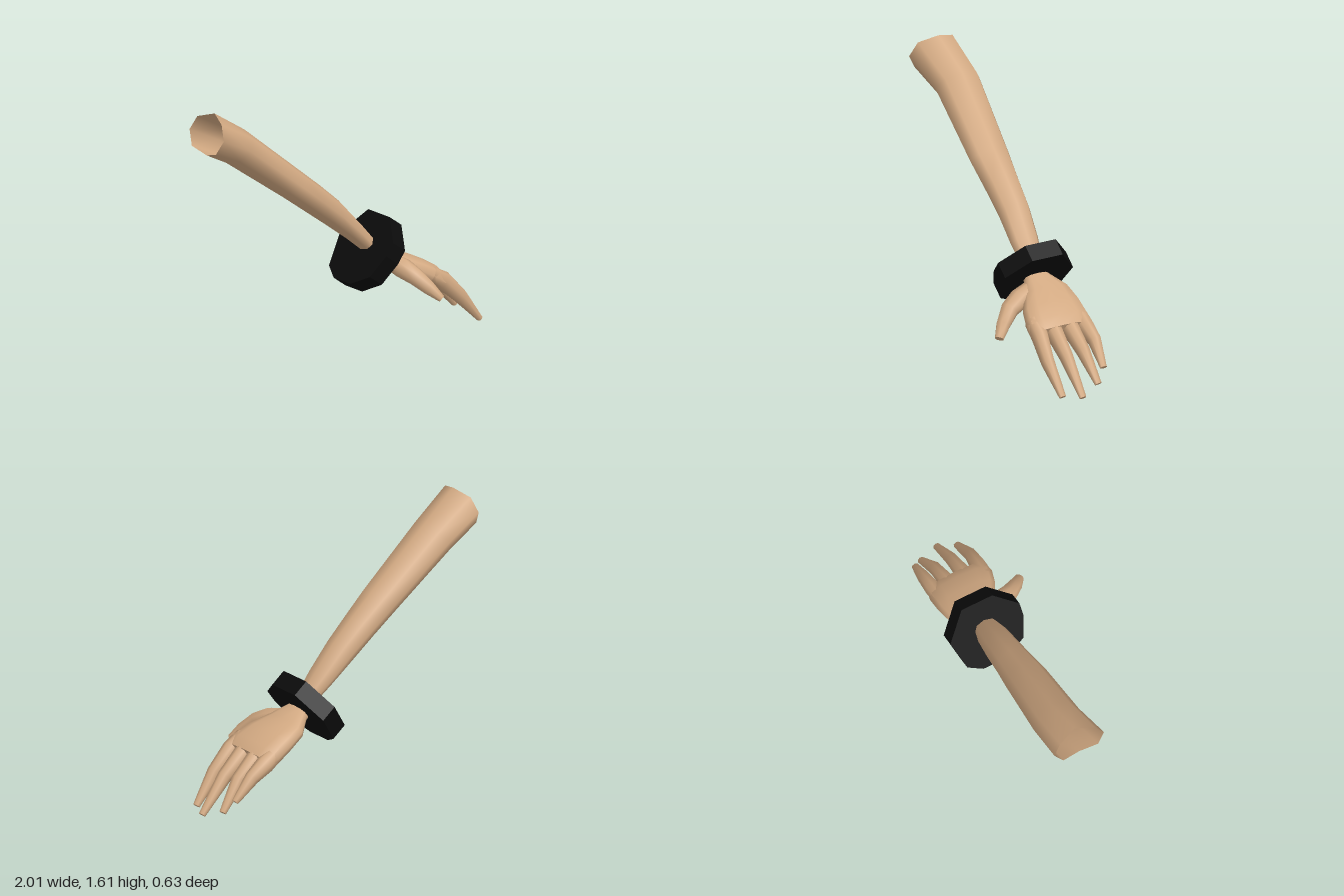
import * as THREE from 'three';

const v3 = (x, y, z) => new THREE.Vector3(x, y, z);

// Skin a row of cross-sections { mid, U, V } into a tube, optionally closing the far end
function loft(sections, sides, power, capped) {
  const pos = [], idx = [];
  const soft = (t) => Math.sign(t) * Math.pow(Math.abs(t), power);
  for (const { mid, U, V } of sections) {
    for (let j = 0; j < sides; j++) {
      const a = (j / sides) * Math.PI * 2;
      const p = mid.clone().addScaledVector(U, soft(Math.cos(a))).addScaledVector(V, soft(Math.sin(a)));
      pos.push(p.x, p.y, p.z);
    }
  }
  for (let i = 0; i < sections.length - 1; i++) {
    for (let j = 0; j < sides; j++) {
      const k = (j + 1) % sides, a = i * sides, b = a + sides;
      idx.push(a + j, a + k, b + k, a + j, b + k, b + j);
    }
  }
  if (capped) {
    // Separate cap vertices keep the fingertip edge crisp
    const last = (sections.length - 1) * sides, start = pos.length / 3;
    for (let j = 0; j < sides; j++) pos.push(...pos.slice((last + j) * 3, (last + j) * 3 + 3));
    for (let j = 1; j < sides - 1; j++) idx.push(start, start + j, start + j + 1);
  }
  const g = new THREE.BufferGeometry();
  g.setAttribute('position', new THREE.Float32BufferAttribute(pos, 3));
  g.setIndex(idx);
  g.computeVertexNormals();
  return g;
}

// Sections given by upper point, lower point and z range
const slabs = (rows) => rows.map(([tx, ty, bx, by, z0, z1]) => ({
  mid: v3((tx + bx) / 2, (ty + by) / 2, (z0 + z1) / 2),
  U: v3((tx - bx) / 2, (ty - by) / 2, 0),
  V: v3(0, 0, (z1 - z0) / 2),
}));

// Sections square to a path of [x, y, z, halfHeight, halfWidth]
const along = (rows) => rows.map(([x, y, z, h, w], i) => {
  const a = rows[Math.max(i - 1, 0)], b = rows[Math.min(i + 1, rows.length - 1)];
  const T = v3(b[0] - a[0], b[1] - a[1], b[2] - a[2]).normalize();
  const V = T.clone().cross(v3(0, 1, 0)).normalize();
  const U = V.clone().cross(T);
  return { mid: v3(x, y, z), U: U.multiplyScalar(h), V: V.multiplyScalar(w) };
});

export function createModel() {
  const model = new THREE.Group();
  const skin = new THREE.MeshStandardMaterial({ color: 0xd2a982, side: THREE.DoubleSide });
  skin.name = 'skin';
  const black = new THREE.MeshStandardMaterial({ color: 0x0b0b0b });
  black.name = 'black';
  const add = (name, geometry, material, parent = model) => {
    const mesh = new THREE.Mesh(geometry, material);
    mesh.name = name;
    parent.add(mesh);
    return mesh;
  };

  // Arm, open at the upper end; the first ring's sides are pushed outwards
  const armRings = slabs([
    [-0.93, 1.615, -0.99, 1.365, -0.24, 0.09],
    [-0.68, 1.46, -0.82, 1.28, -0.255, 0.045],
    [-0.27, 1.13, -0.4, 0.99, -0.225, 0.035],
    [-0.12, 1.01, -0.24, 0.875, -0.21, 0.02],
    [0.02, 0.89, -0.08, 0.76, -0.2, 0.01],
    [0.16, 0.735, 0.08, 0.64, -0.18, 0.005],
    [0.26, 0.62, 0.19, 0.55, -0.15, -0.01],
    [0.32, 0.54, 0.26, 0.48, -0.14, -0.01],
  ]);
  const arm = loft(armRings, 8, 1, false);
  const armPos = arm.attributes.position;
  for (const j of [1, 2, 3, 5, 6, 7]) armPos.setX(j, armPos.getX(j) - 0.03);
  arm.computeVertexNormals();
  add('arm', arm, skin);

  // Chunky faceted bracelet: outline in (z, slanted height), extruded along the arm
  const outline = [[0.015, 0.23], [0.155, 0.09], [0.155, 0], [0.11, -0.15], [-0.02, -0.23],
    [-0.18, -0.23], [-0.27, -0.17], [-0.32, 0.04], [-0.19, 0.23]];
  const shape = new THREE.Shape(outline.map(([z, h]) => new THREE.Vector2(-z, h)));
  const bracelet = new THREE.ExtrudeGeometry(shape, { depth: 0.11, bevelEnabled: false });
  bracelet.translate(0, 0, -0.055);
  bracelet.rotateY(Math.PI / 2);
  bracelet.rotateZ(-0.625);
  bracelet.translate(0.23, 0.537, 0);
  add('bracelet', bracelet, black);

  const hand = new THREE.Group();
  hand.name = 'hand';
  model.add(hand);

  // Palm
  add('palm', loft(slabs([
    [0.25, 0.59, 0.21, 0.5, -0.14, -0.01],
    [0.31, 0.56, 0.28, 0.455, -0.16, 0.01],
    [0.42, 0.515, 0.36, 0.4, -0.235, 0.065],
    [0.53, 0.47, 0.46, 0.345, -0.255, 0.125],
    [0.63, 0.42, 0.555, 0.29, -0.26, 0.153],
    [0.68, 0.37, 0.62, 0.26, -0.245, 0.148],
  ]), 12, 0.8, true), skin, hand);

  // Fingers: knuckle z, middle joint and tip
  const fingers = {
    indexFinger: [0.1, [0.78, 0.2, 0.112], [0.935, 0.03, 0.095]],
    middleFinger: [0, [0.8, 0.215, -0.004], [0.985, 0.022, -0.015]],
    ringFinger: [-0.11, [0.79, 0.23, -0.12], [0.935, 0.065, -0.145]],
    littleFinger: [-0.205, [0.765, 0.265, -0.213], [0.89, 0.142, -0.205]],
  };
  for (const [name, [z, joint, tip]] of Object.entries(fingers)) {
    add(name, loft(along([
      [0.56, 0.375, z, 0.05, 0.045],
      [0.655, 0.32, z, 0.057, 0.05],
      [...joint, 0.045, 0.039],
      [...tip, 0.018, 0.022],
    ]), 8, 0.85, true), skin, hand);
  }

  // Thumb
  add('thumb', loft(along([
    [0.33, 0.485, -0.03, 0.045, 0.05],
    [0.37, 0.445, 0.08, 0.06, 0.065],
    [0.4, 0.405, 0.165, 0.052, 0.055],
    [0.45, 0.34, 0.235, 0.042, 0.043],
    [0.5, 0.28, 0.288, 0.022, 0.028],
  ]), 8, 0.9, true), skin, hand);

  return model;
}
